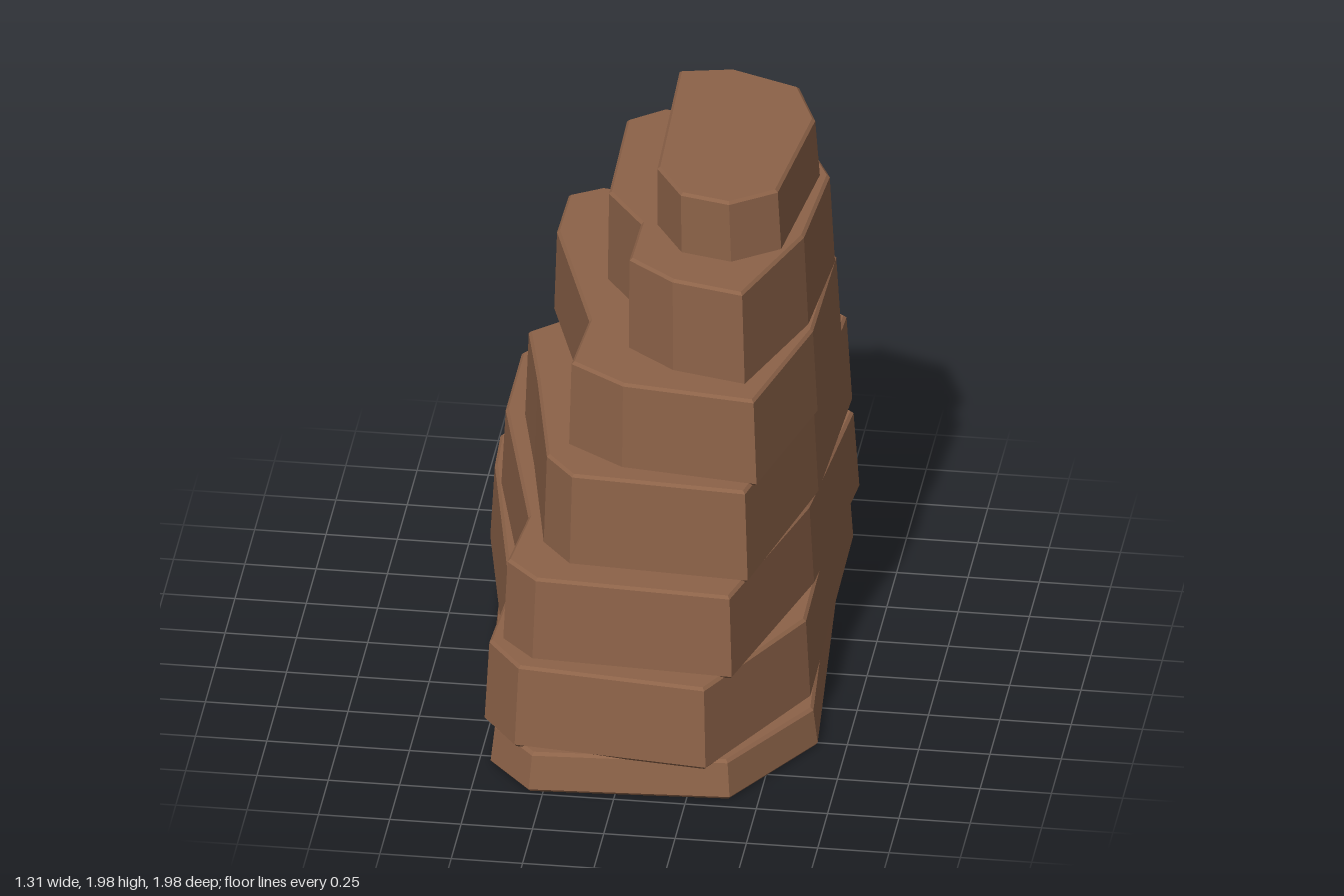
import * as THREE from 'three';

// Height of each ledge, from the ground to the summit
const LEDGES = [0, 0.14, 0.437, 0.74, 1.08, 1.4, 1.75, 1.98];

// Corners [x, z] of each tier at its wider lower edge, starting at the back;
// the third and fourth corners bound the long flank on the left (+x)
const TIERS = {
  baseSlab: [[-0.53, -0.99], [0.24, -0.97], [0.55, -0.8], [0.65, 0.52], [0.4, 0.95],
    [-0.3, 0.99], [-0.46, 0.8], [-0.47, 0.36], [-0.56, 0], [-0.635, -0.9]],
  secondTier: [[-0.57, -0.94], [0.25, -0.92], [0.6, -0.74], [0.61, 0.42], [0.32, 0.985],
    [-0.36, 0.91], [-0.49, 0.73], [-0.47, 0.34], [-0.65, -0.57], [-0.66, -0.79]],
  thirdTier: [[-0.52, -0.93], [0.32, -0.87], [0.645, -0.57], [0.395, 0.86],
    [-0.31, 0.82], [-0.43, 0.69], [-0.4, 0.36], [-0.59, -0.42], [-0.59, -0.84]],
  fourthTier: [[-0.3, -0.91], [0.28, -0.9], [0.61, -0.64], [0.43, 0.71], [-0.2, 0.67],
    [-0.31, 0.53], [-0.42, -0.02], [-0.5, -0.37], [-0.38, -0.48]],
  fifthTier: [[-0.3, -0.87], [0.44, -0.77], [0.595, -0.48], [0.45, 0.63], [-0.03, 0.57],
    [-0.235, 0.43], [-0.215, 0.11], [-0.42, -0.53], [-0.415, -0.8]],
  sixthTier: [[-0.07, -0.83], [0.42, -0.76], [0.58, -0.42], [0.39, 0.495], [0.13, 0.43],
    [-0.045, 0.29], [-0.04, 0.02], [-0.185, -0.19], [-0.195, -0.73]],
  topTier: [[0, -0.69], [0.19, -0.73], [0.44, -0.63], [0.53, -0.4], [0.47, 0.145],
    [0.31, 0.26], [0.13, 0.215], [0.02, 0.03]],
};
const BEVEL = 0.01;
const TAPER = 0.03;
const OVERLAP = 0.01;
const BOW = 0.065;

// Adds a corner halfway along the left flank, pushed outwards
function bowFlank(corners) {
  const [a, b] = corners.slice(2, 4);
  const knee = [(a[0] + b[0]) / 2 + BOW, (a[1] + b[1]) / 2];
  return [...corners.slice(0, 3), knee, ...corners.slice(3)];
}

// Bevelled prism that narrows slightly towards its top
function tierGeometry(corners, y0, y1) {
  const shape = new THREE.Shape(corners.map(([x, z]) => new THREE.Vector2(x, -z)));
  const geo = new THREE.ExtrudeGeometry(shape, {
    depth: y1 - y0 - 2 * BEVEL,
    bevelSegments: 1, bevelSize: BEVEL, bevelThickness: BEVEL, bevelOffset: -BEVEL,
  });
  geo.rotateX(-Math.PI / 2);
  geo.translate(0, y0 + BEVEL, 0);
  const p = geo.attributes.position;
  for (let i = 0; i < p.count; i++) {
    const s = 1 - TAPER * (p.getY(i) - y0) / (y1 - y0);
    p.setX(i, p.getX(i) * s);
    p.setZ(i, p.getZ(i) * s);
  }
  geo.computeVertexNormals(); // unshared corners keep the facets flat
  return geo;
}

export function createModel() {
  const rock = new THREE.MeshStandardMaterial({ color: 0x8c6248 });
  rock.name = 'brownRock';
  const group = new THREE.Group();
  group.name = 'steppedRock';
  Object.entries(TIERS).forEach(([name, corners], i) => {
    const bowed = i >= 2 && i <= 5; // only the middle tiers bulge
    const bottom = Math.max(0, LEDGES[i] - OVERLAP); // sunk into the tier below
    const outline = bowed ? bowFlank(corners) : corners;
    const mesh = new THREE.Mesh(tierGeometry(outline, bottom, LEDGES[i + 1]), rock);
    mesh.name = name;
    group.add(mesh);
  });
  return group;
}
